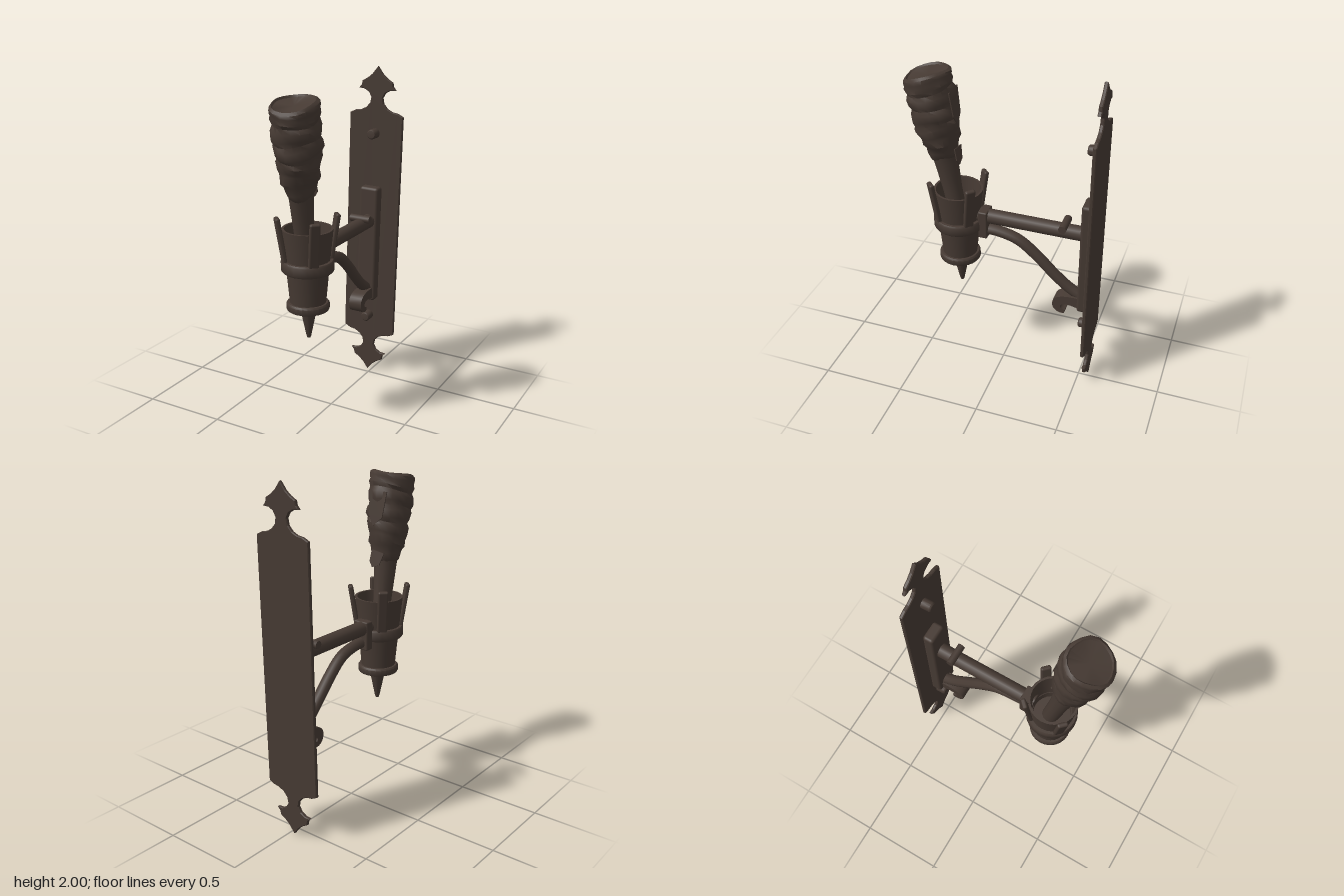
import * as THREE from 'three';
import { toCreasedNormals } from 'three/addons/utils/BufferGeometryUtils.js';
import { RoundedBoxGeometry } from 'three/addons/geometries/RoundedBoxGeometry.js';

const iron = new THREE.MeshStandardMaterial({ color: 0x463a33, side: THREE.DoubleSide });
iron.name = 'darkIron';

function add(parent, name, geometry, x = 0, y = 0, z = 0) {
  const m = new THREE.Mesh(geometry, iron);
  m.name = name;
  m.position.set(x, y, z);
  parent.add(m);
  return m;
}

const v2 = (pts) => pts.map(([x, y]) => new THREE.Vector2(x, y));
const lathe = (pts, sides) => toCreasedNormals(new THREE.LatheGeometry(v2(pts), sides), 0.7);

// Outline of the wall plate with an arrow finial at each end, y measured from the middle
function plateGeometry() {
  const quarter = [[0.045, -0.075], [0.085, -0.098 + 0.04], [0.115, -0.105 + 0.07]];
  const lower = [
    [0, -1], [0.035, -0.955], [0.065, -0.93], [0.1, -0.91], [0.105, -0.885], [0.122, -0.865],
    [0.085, -0.862], [0.055, -0.845], [0.038, -0.815], [0.045, -0.78], [0.07, -0.752],
    [0.105, -0.735], [0.14, -0.73], [0.177, -0.712],
  ];
  const right = [...lower, ...lower.map(([x, y]) => [x, -y]).reverse()];
  const left = right.slice(1, -1).map(([x, y]) => [-x, y]).reverse();
  return new THREE.ExtrudeGeometry(new THREE.Shape(v2([...right, ...left])), {
    depth: 0.012, bevelEnabled: true, bevelThickness: 0.005, bevelSize: 0.004, bevelOffset: -0.004, bevelSegments: 1,
  });
}

// Wrapped cloth head: a ridged lathe, made uneven and leaned forward
const leanX = (y) => 0.003 + 0.02 * THREE.MathUtils.smoothstep(y, 1.2, 1.7);
const leanZ = (y) => 0.305 + 0.165 * (y - 1.2);
function leaned(pts, sides, wobble, tilt) {
  const g = new THREE.LatheGeometry(v2(pts), sides);
  const p = g.attributes.position;
  for (let i = 0; i < p.count; i++) {
    const x = p.getX(i), y = p.getY(i), z = p.getZ(i);
    const a = Math.atan2(x, z);
    const k = 1 + wobble * (Math.sin(3 * a + y * 31) * 0.6 + Math.sin(5 * a - y * 47) * 0.4);
    const drop = wobble * 0.15 * Math.sin(2 * a + y * 25);
    p.setXYZ(i, x * k + leanX(y), y - z * tilt + drop, z * k + leanZ(y));
  }
  g.computeVertexNormals();
  return toCreasedNormals(g, 0.8);
}

export function createModel() {
  const model = new THREE.Group();
  model.name = 'wallTorch';

  // Wall fittings share a slight sideways lean
  const wall = new THREE.Group();
  wall.name = 'wallMount';
  wall.position.set(-0.008, 1, 0);
  wall.rotation.z = -0.02;
  model.add(wall);
  add(wall, 'backPlate', plateGeometry(), 0, 0, -0.553);
  add(wall, 'mountBlock', new RoundedBoxGeometry(0.125, 0.745, 0.07, 2, 0.018), 0, -0.1, -0.503);
  for (const y of [-0.6, 0.6]) {
    const rivet = add(wall, 'rivet', lathe([[0.03, -0.035], [0.03, 0.02], [0.024, 0.028], [0, 0.031]], 14), 0, y, -0.503);
    rivet.rotation.x = Math.PI / 2;
  }

  // Arm with cross pin and end clamp
  const arm = add(model, 'arm', new THREE.CylinderGeometry(0.044, 0.044, 0.66, 16), -0.003, 1.058, -0.165);
  arm.rotation.x = Math.PI / 2;
  const pin = add(model, 'crossPin', new THREE.CylinderGeometry(0.023, 0.023, 0.13, 12), -0.002, 1.1, -0.367);
  pin.rotation.z = Math.PI / 2;
  add(model, 'armClamp', new RoundedBoxGeometry(0.1, 0.175, 0.055, 1, 0.008), 0, 1.015, 0.113);

  // Curved brace under the arm
  const brace = new THREE.CatmullRomCurve3([
    [0, 0.97, 0.12], [0, 0.967, 0.03], [0, 0.935, -0.09], [-0.003, 0.85, -0.2],
    [-0.006, 0.74, -0.31], [-0.01, 0.66, -0.4], [-0.012, 0.61, -0.48],
  ].map((p) => new THREE.Vector3(...p)));
  add(model, 'brace', new THREE.TubeGeometry(brace, 28, 0.034, 10));

  // Scrolled strap at the foot of the brace, drawn in side profile
  const scroll = new THREE.Shape();
  scroll.moveTo(0.48, 0.615);
  scroll.bezierCurveTo(0.4, 0.62, 0.32, 0.61, 0.318, 0.55);
  scroll.bezierCurveTo(0.318, 0.5, 0.36, 0.475, 0.395, 0.49);
  scroll.lineTo(0.398, 0.51);
  scroll.bezierCurveTo(0.365, 0.515, 0.355, 0.54, 0.385, 0.552);
  scroll.bezierCurveTo(0.42, 0.562, 0.44, 0.55, 0.48, 0.545);
  const scrollGeometry = new THREE.ExtrudeGeometry(scroll, { depth: 0.085, bevelEnabled: false, curveSegments: 8 });
  const foot = add(model, 'scroll', toCreasedNormals(scrollGeometry, 0.7), -0.052, 0, 0);
  foot.rotation.y = Math.PI / 2;
  foot.position.x = -0.052;

  // Cup: hollow holder, band, base ring and spike
  const cup = new THREE.Group();
  cup.name = 'cup';
  cup.position.set(0.005, 0, 0.272);
  model.add(cup);
  add(cup, 'holder', lathe([[0, 0.76], [0.1, 0.76], [0.122, 1], [0.143, 1.215], [0.13, 1.215], [0.108, 0.98], [0, 0.98]], 24));
  add(cup, 'band', lathe([[0.11, 0.97], [0.142, 0.97], [0.149, 0.98], [0.149, 1.027], [0.142, 1.037], [0.11, 1.037]], 24));
  add(cup, 'baseRing', lathe([[0, 0.743], [0.118, 0.743], [0.122, 0.75], [0.122, 0.778], [0.114, 0.788], [0, 0.788]], 24));
  add(cup, 'spike', lathe([[0, 0.56], [0.009, 0.562], [0.014, 0.575], [0.05, 0.75]], 14), 0, 0, -0.006);
  for (let i = 0; i < 4; i++) {
    const pivot = new THREE.Group();
    pivot.name = 'prong';
    pivot.rotation.y = Math.PI / 4 + i * Math.PI / 2;
    cup.add(pivot);
    const prong = add(pivot, 'prongBar', new RoundedBoxGeometry(0.06, 0.27, 0.028, 2, 0.011), 0, 1.155, 0.15);
    prong.rotation.x = 0.16;
  }

  // Torch: handle and wrapped head
  add(model, 'handle', leaned([[0.05, 0.9], [0.054, 1.2], [0.066, 1.38], [0.078, 1.5]], 12, 0.03, 0.16));
  add(model, 'wrappedHead', leaned([
    [0.06, 1.41], [0.078, 1.43], [0.086, 1.46], [0.092, 1.5], [0.107, 1.52], [0.106, 1.56], [0.113, 1.58],
    [0.124, 1.62], [0.117, 1.645], [0.13, 1.67], [0.131, 1.71], [0.121, 1.735], [0.132, 1.76], [0.134, 1.8],
    [0.122, 1.825], [0.133, 1.85], [0.128, 1.87], [0.132, 1.89], [0.13, 1.91], [0.115, 1.922], [0.108, 1.912], [0, 1.908],
  ], 18, 0.05, 0.27));

  // Loose cloth ends hanging at the back of the head
  const flap = (w, h) => {
    const s = new THREE.Shape(v2([[-w, h], [w, h], [w * 0.9, h * 0.3], [w * 0.3, 0], [-w * 0.7, h * 0.25]]));
    return new THREE.ExtrudeGeometry(s, { depth: 0.006, bevelEnabled: false });
  };
  const upper = add(model, 'upperClothEnd', flap(0.06, 0.2), 0.02, 1.64, 0.247);
  upper.rotation.x = 0.14;
  const lower = add(model, 'lowerClothEnd', flap(0.045, 0.1), 0.025, 1.39, 0.243);
  lower.rotation.set(0.2, 0, 0.15);

  return model;
}
